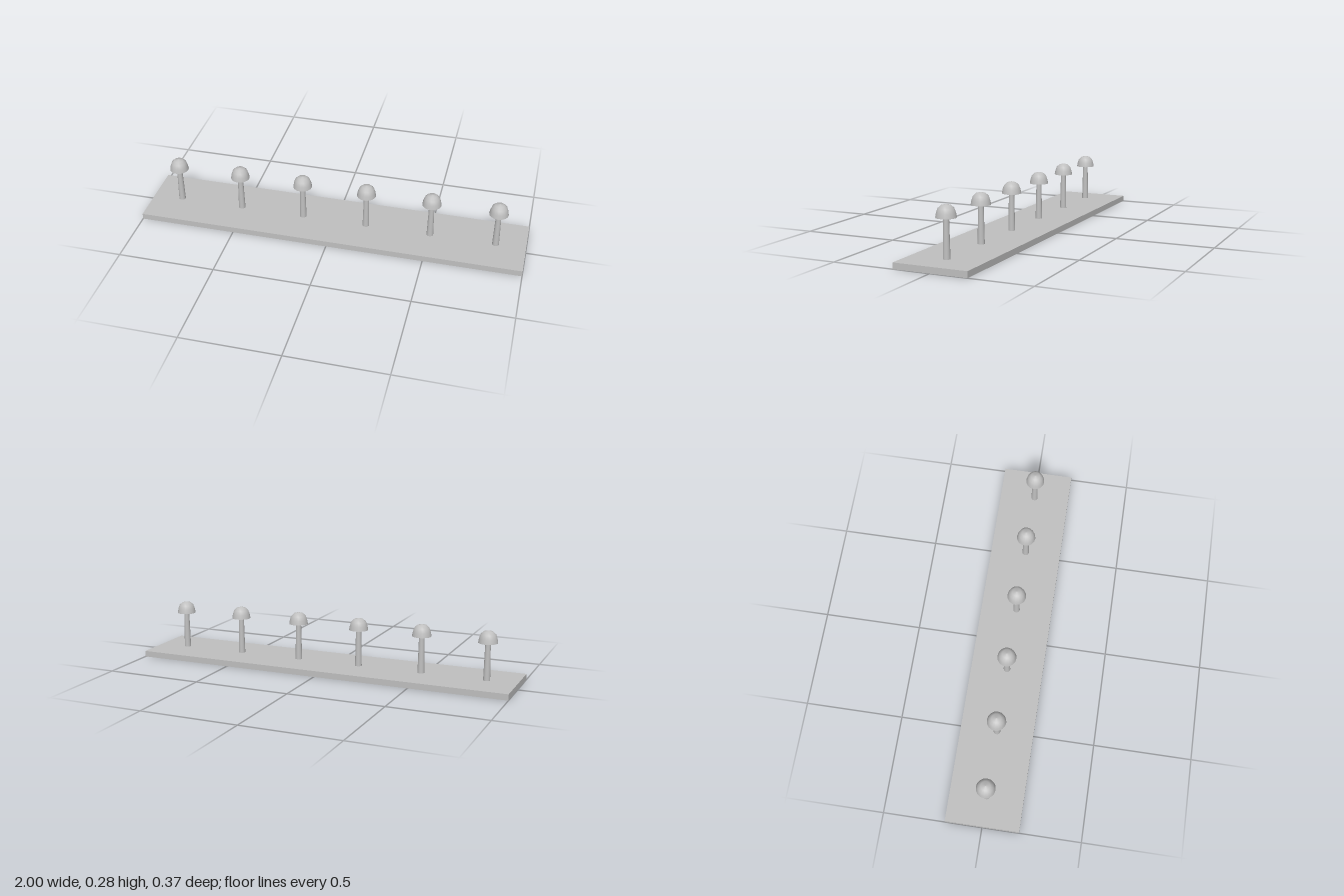
import * as THREE from 'three';

export function createModel() {
  const model = new THREE.Group();
  model.name = 'pegRail';
  const grey = new THREE.MeshStandardMaterial({ color: 0xc0c0c0 });
  grey.name = 'plain grey';

  const add = (parent, name, geometry, y) => {
    const mesh = new THREE.Mesh(geometry, grey);
    mesh.name = name;
    mesh.position.y = y;
    parent.add(mesh);
  };

  // Flat backing board
  const boardTop = 0.031, capBase = 0.221;
  add(model, 'board', new THREE.BoxGeometry(2, boardTop, 0.374), boardTop / 2);

  // Tapered stem, domed cap and the cap's flat underside
  const stemHeight = capBase - boardTop;
  const stem = new THREE.CylinderGeometry(0.0135, 0.0175, stemHeight, 16);
  const profile = [[0.049, 0], [0.0452, 0.021], [0.038, 0.042], [0.0235, 0.0555], [0, 0.0615]];
  const dome = new THREE.LatheGeometry(profile.map(([r, y]) => new THREE.Vector2(r, y)), 16);
  const underside = new THREE.CircleGeometry(0.049, 16).rotateX(Math.PI / 2).rotateY(Math.PI / 2);

  // Row of six evenly spaced pegs
  for (let i = 0; i < 6; i++) {
    const peg = new THREE.Group();
    peg.name = 'peg' + (i + 1);
    peg.position.x = (i - 2.5) * 0.338;
    add(peg, 'stem', stem, boardTop + stemHeight / 2);
    add(peg, 'cap', dome, capBase);
    add(peg, 'capUnderside', underside, capBase);
    model.add(peg);
  }
  return model;
}
